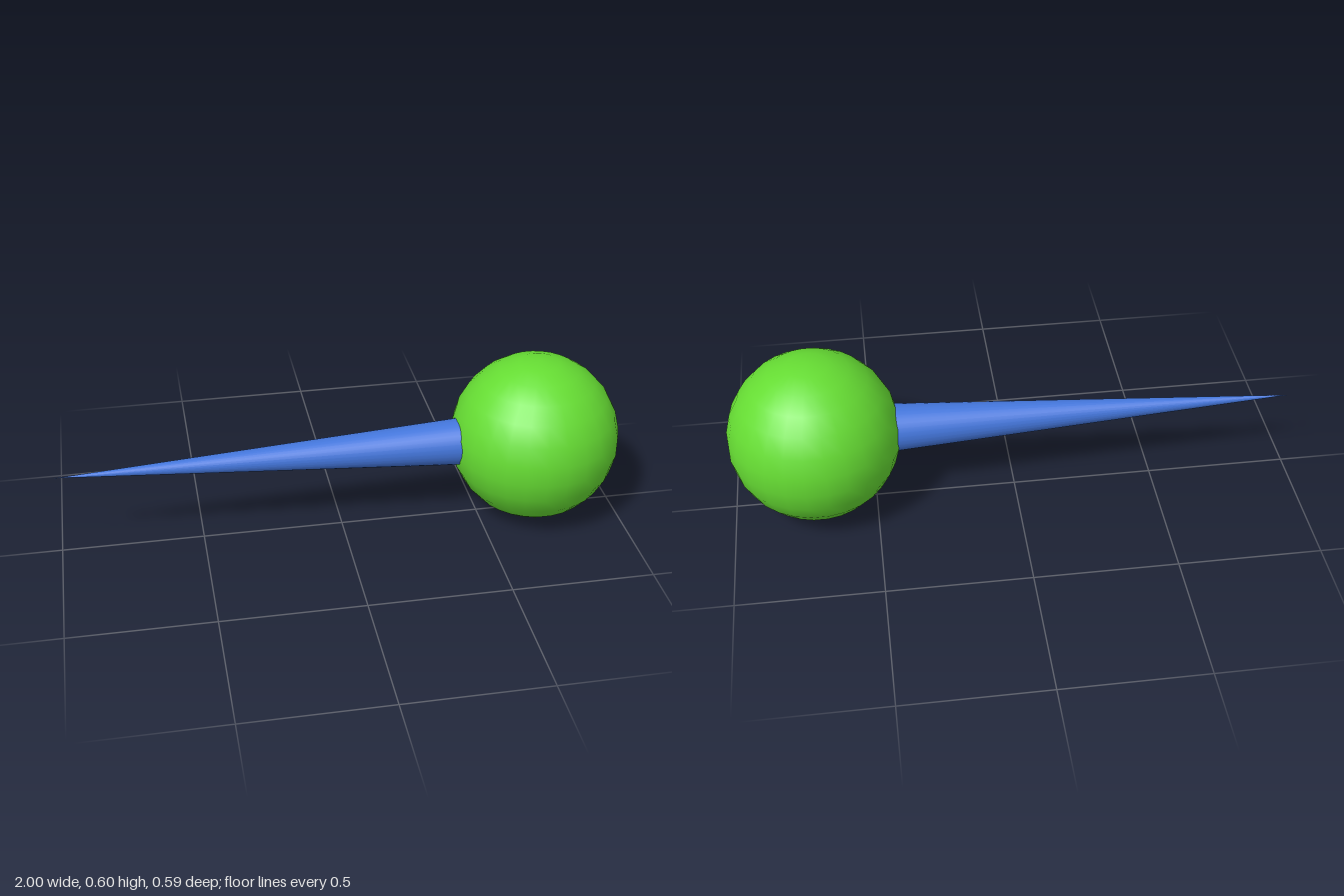
import * as THREE from 'three';

function addPart(group, name, geometry, color) {
  const mesh = new THREE.Mesh(geometry, new THREE.MeshStandardMaterial({ color }));
  mesh.name = name;
  group.add(mesh);
  return mesh;
}

export function createModel() {
  const group = new THREE.Group();
  group.name = 'ballPin';

  // Round head at the +x end
  const head = addPart(group, 'head', new THREE.SphereGeometry(0.3, 26, 13), 0x66dd33);
  head.position.set(0.7, 0.3, 0);

  // Long spike, its base at the centre of the head and its tip at -x
  const spike = addPart(group, 'spike', new THREE.ConeGeometry(0.1, 1.7, 32), 0x4477dd);
  spike.rotation.z = Math.PI / 2;
  spike.position.set(-0.15, 0.3, 0);

  return group;
}
